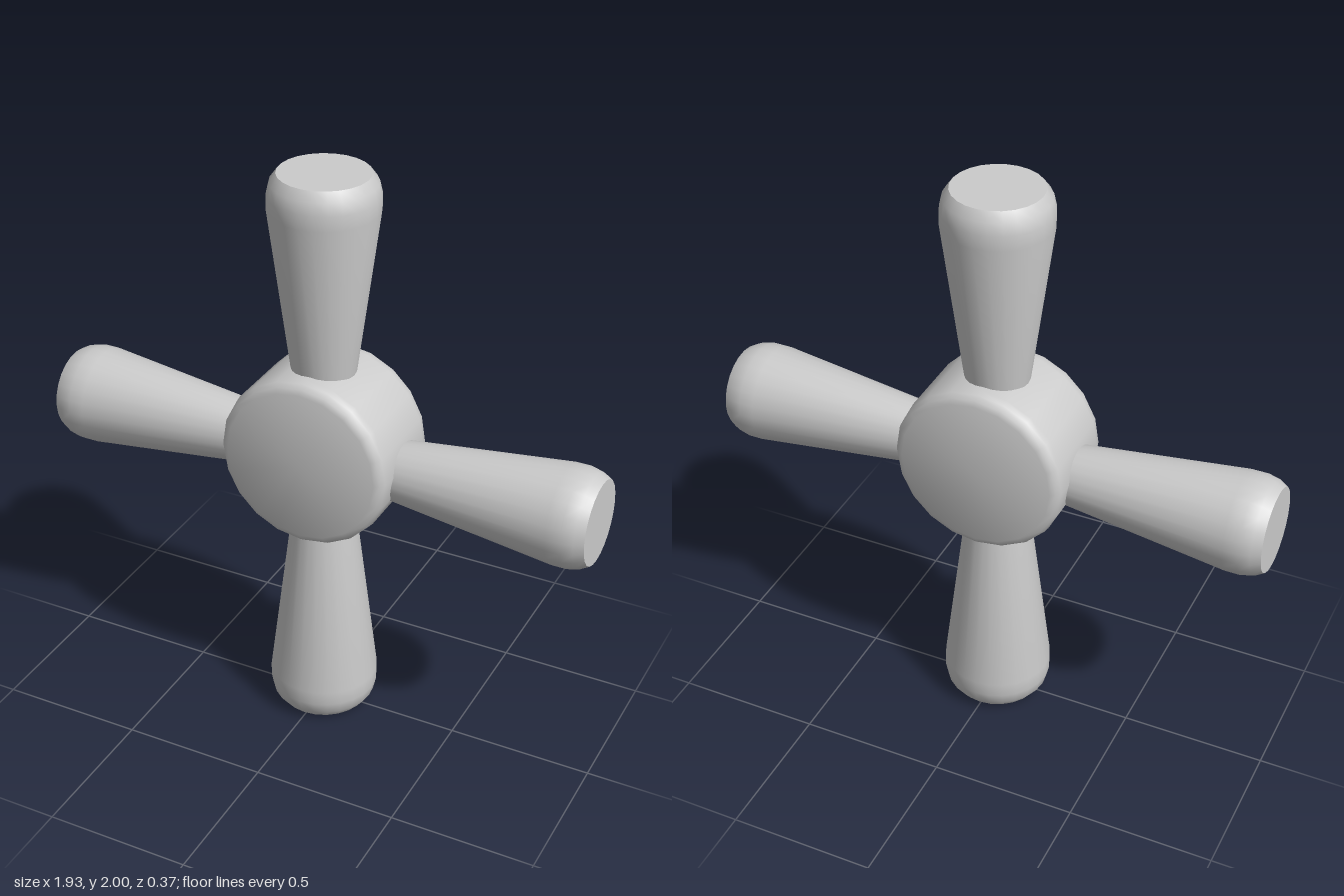
import * as THREE from 'three';
import { toCreasedNormals } from 'three/addons/utils/BufferGeometryUtils.js';

const material = new THREE.MeshStandardMaterial({ color: 0xcccccc });

// Turned part from [radius, height] pairs, smooth except at sharp edges
function turned(name, profile, sides) {
  const points = profile.map(([r, h]) => new THREE.Vector2(r, h));
  const geometry = toCreasedNormals(new THREE.LatheGeometry(points, sides), 0.65);
  const mesh = new THREE.Mesh(geometry, material);
  mesh.name = name;
  return mesh;
}

// Flared spoke growing along +y: narrow root, wide rounded tip, flat cap
function spoke(name, root, tip, cap, length, dome = 0) {
  const end = length - dome;
  return turned(name, [
    [0, 0.2], [root, 0.2],
    [tip, end - 0.12],
    [tip, end - 0.07],
    [tip - 0.009, end - 0.03],
    [cap, end],
    [0, length],
  ], 24);
}

export function createModel() {
  const group = new THREE.Group();

  // Round hub with softened rims, facing front and back
  const half = [[0.265, 0.18], [0.284, 0.172], [0.296, 0.155], [0.3, 0.13]];
  const hub = turned('hub', [
    [0, -0.18],
    ...half.map(([r, h]) => [r, -h]),
    ...half.slice().reverse(),
    [0, 0.18],
  ], 20);
  hub.rotation.x = Math.PI / 2;
  hub.position.y = 1.04;
  group.add(hub);

  // Upright spokes
  const top = spoke('topSpoke', 0.098, 0.181, 0.15, 0.96);
  top.position.y = 1.04;
  group.add(top);

  const bottom = spoke('bottomSpoke', 0.1, 0.187, 0.155, 1.04, 0.012);
  bottom.rotation.x = Math.PI;
  bottom.position.y = 1.04;
  group.add(bottom);

  // Side spokes, set slightly below the hub centre
  for (const [name, side] of [['leftSpoke', 1], ['rightSpoke', -1]]) {
    const arm = spoke(name, 0.096, 0.168, 0.142, 0.965);
    arm.rotation.z = -side * Math.PI / 2;
    arm.position.y = 1.005;
    group.add(arm);
  }

  return group;
}
